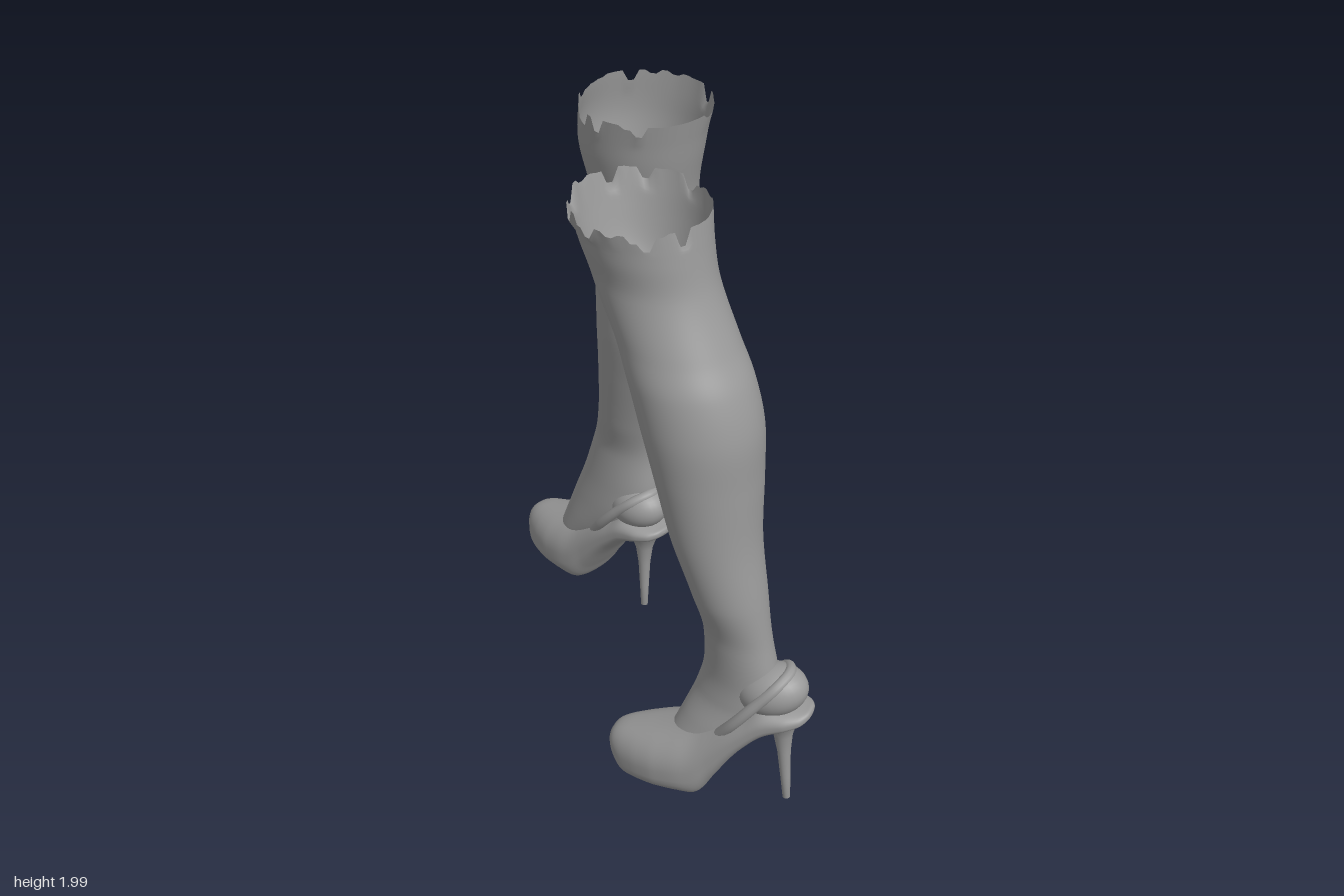
import * as THREE from 'three';

const material = new THREE.MeshStandardMaterial({ color: 0x999999, side: THREE.DoubleSide });

function named(name, geometry) {
  const mesh = new THREE.Mesh(geometry, material);
  mesh.name = name;
  return mesh;
}

// Skin closed rings: point(t, a, j) gives a position, skip(t, a) leaves a hole
function loft(rows, cols, point, skip = () => false) {
  const pos = [], index = [];
  for (let i = 0; i <= rows; i++) {
    for (let j = 0; j < cols; j++) pos.push(...point(i / rows, (j / cols) * Math.PI * 2, j));
  }
  for (let i = 0; i < rows; i++) {
    for (let j = 0; j < cols; j++) {
      if (skip((i + 0.5) / rows, ((j + 0.5) / cols) * Math.PI * 2)) continue;
      const a = i * cols + j, b = i * cols + (j + 1) % cols, c = a + cols, d = b + cols;
      index.push(a, c, b, b, c, d);
    }
  }
  const g = new THREE.BufferGeometry();
  g.setAttribute('position', new THREE.Float32BufferAttribute(pos, 3));
  g.setIndex(index);
  g.computeVertexNormals();
  return g;
}

const spline = (points) => new THREE.CatmullRomCurve3(points.map((p) => new THREE.Vector3(...p)));

// Worn holes down the back side: [height, angle offset, half height, half width]
const holes = [
  [1.8, 0.35, 0.08, 0.07], [1.62, 0.15, 0.05, 0.1], [1.47, -0.25, 0.07, 0.07],
  [1.36, 0.25, 0.05, 0.1], [1.24, 0.0, 0.06, 0.08], [1.12, -0.2, 0.04, 0.12],
  [1.03, 0.15, 0.06, 0.09], [0.9, -0.1, 0.06, 0.1], [0.76, 0.15, 0.04, 0.14],
  [0.64, -0.15, 0.05, 0.14],
];

// Leg from rows of [y, xMin, xMax, zMin, zMax], open at its ragged top
function makeLeg(rows, seed) {
  const xs = spline(rows.map((r) => [r[1], r[0], r[2]]));
  const zs = spline(rows.map((r) => [r[3], 0, r[4]]));
  const cols = 72;
  let s = seed;
  const rand = () => (s = (s * 16807) % 2147483647) / 2147483647;
  const tear = Array.from({ length: cols / 2 }, () => 0.05 * rand() ** 3);
  const point = (t, a, j) => {
    const x = xs.getPoint(t), z = zs.getPoint(t);
    return [
      (x.x + x.z) / 2 + ((x.z - x.x) / 2) * Math.cos(a),
      x.y - (tear[j >> 1] + 0.008 * (1 + Math.cos(a))) * Math.max(0, (t - 0.95) / 0.05),
      (z.x + z.z) / 2 + ((z.z - z.x) / 2) * Math.sin(a),
    ];
  };
  const skip = (t, a) => {
    const y = xs.getPoint(t).y;
    return holes.some(([h, o, hh, hw]) =>
      ((y - h) / hh) ** 2 + ((a - 1.5 * Math.PI - o - (y - h)) / hw) ** 2 < 1);
  };
  return named('leg', loft(110, cols, point, skip));
}

// Platform shoe with its toe towards -x
function makeShoe() {
  const shoe = new THREE.Group();
  shoe.name = 'shoe';

  // Sole and upper: [x, bottom, top, half width]
  const sections = [
    [-0.335, 0.12, 0.12, 0], [-0.329, 0.085, 0.145, 0.035], [-0.312, 0.048, 0.167, 0.06],
    [-0.28, 0.012, 0.184, 0.084], [-0.22, 0.008, 0.202, 0.11], [-0.15, 0.008, 0.222, 0.128],
    [-0.08, 0.008, 0.245, 0.132], [-0.02, 0.01, 0.27, 0.127], [0.035, 0.085, 0.3, 0.118],
    [0.1, 0.18, 0.34, 0.11], [0.15, 0.24, 0.37, 0.104], [0.21, 0.295, 0.405, 0.097],
    [0.28, 0.33, 0.4, 0.084], [0.325, 0.35, 0.395, 0.06], [0.345, 0.367, 0.392, 0.03],
    [0.35, 0.38, 0.38, 0],
  ];
  const path = spline(sections.map((r) => [r[0], r[1], r[2]]));
  const width = spline(sections.map((r) => [r[3], 0, 0]));
  const round = (v, e) => Math.sign(v) * Math.abs(v) ** e;
  shoe.add(named('shoeBody', loft(75, 40, (t, a) => {
    const p = path.getPoint(t), w = width.getPoint(t).x, low = Math.sin(a) < 0;
    const y = (p.y + p.z) / 2 + ((p.z - p.y) / 2) * round(Math.sin(a), low ? 0.65 : 0.95);
    return [p.x, y, w * round(Math.cos(a), 0.8)];
  })));

  // Stiletto heel flaring into the seat
  const profile = [[0, 0.01], [0.012, 0.01], [0.016, 0.1], [0.021, 0.2], [0.03, 0.27],
    [0.045, 0.315], [0.066, 0.345], [0.073, 0.365], [0, 0.375]];
  const heel = named('stilettoHeel',
    new THREE.LatheGeometry(profile.map((p) => new THREE.Vector2(...p)), 28));
  heel.position.x = 0.25;
  shoe.add(heel);

  // Heel counter, leaning forward into the ankle
  const counter = named('heelCounter', new THREE.SphereGeometry(1, 32, 20));
  counter.scale.set(0.115, 0.082, 0.088);
  counter.position.set(0.222, 0.44, 0);
  counter.rotation.z = 0.25;
  shoe.add(counter);

  // Raised topline around the back of the ankle, its ends sunk into the upper
  const side = [[0.06, 0.27, 0.07], [0.13, 0.355, 0.092], [0.2, 0.435, 0.084],
    [0.255, 0.49, 0.058]];
  const strap = spline([...side, [0.28, 0.51, 0],
    ...side.slice().reverse().map(([x, y, z]) => [x, y, -z])]);
  shoe.add(named('strap', new THREE.TubeGeometry(strap, 60, 0.018, 12)));
  return shoe;
}

export function createModel() {
  const model = new THREE.Group();
  model.name = 'legsInHeels';

  // Right leg, nearly upright
  const right = new THREE.Group();
  right.name = 'rightLeg';
  right.add(makeLeg([
    [0.17, -0.66, -0.5, -0.37, -0.21], [0.23, -0.64, -0.43, -0.385, -0.195],
    [0.31, -0.61, -0.33, -0.39, -0.19], [0.4, -0.575, -0.24, -0.385, -0.19],
    [0.5, -0.535, -0.22, -0.385, -0.195], [0.65, -0.485, -0.222, -0.385, -0.2],
    [0.8, -0.44, -0.19, -0.41, -0.17], [1.0, -0.412, -0.12, -0.43, -0.13],
    [1.2, -0.397, -0.045, -0.435, -0.095], [1.4, -0.387, -0.03, -0.44, -0.08],
    [1.55, -0.372, -0.04, -0.42, -0.085], [1.7, -0.387, -0.047, -0.4, -0.07],
    [1.86, -0.415, -0.022, -0.415, -0.035], [2.0, -0.4, 0.0, -0.43, -0.02],
  ], 77));
  const rightShoe = makeShoe();
  rightShoe.position.set(-0.5, 0, -0.285);
  rightShoe.rotation.y = -0.06;
  right.add(rightShoe);

  // Left leg, leaning back in the stride
  const left = new THREE.Group();
  left.name = 'leftLeg';
  left.add(makeLeg([
    [0.17, 0.375, 0.53, 0.21, 0.36], [0.23, 0.39, 0.58, 0.185, 0.345],
    [0.31, 0.412, 0.65, 0.15, 0.32], [0.4, 0.435, 0.7, 0.12, 0.29],
    [0.5, 0.455, 0.715, 0.105, 0.28], [0.65, 0.46, 0.69, 0.115, 0.29],
    [0.8, 0.44, 0.67, 0.11, 0.335], [1.0, 0.375, 0.64, 0.095, 0.375],
    [1.2, 0.317, 0.63, 0.07, 0.4], [1.37, 0.262, 0.622, 0.06, 0.415],
    [1.5, 0.215, 0.585, 0.065, 0.415], [1.6, 0.17, 0.53, 0.07, 0.405],
    [1.76, 0.077, 0.455, 0.073, 0.4], [1.87, 0.04, 0.43, 0.065, 0.42],
    [1.98, 0.013, 0.415, 0.05, 0.44],
  ], 4242));
  const leftShoe = makeShoe();
  leftShoe.position.set(0.53, 0.027, 0.25);
  leftShoe.rotation.set(0, 0.36, 0.085);
  left.add(leftShoe);

  model.add(right, left);
  return model;
}
